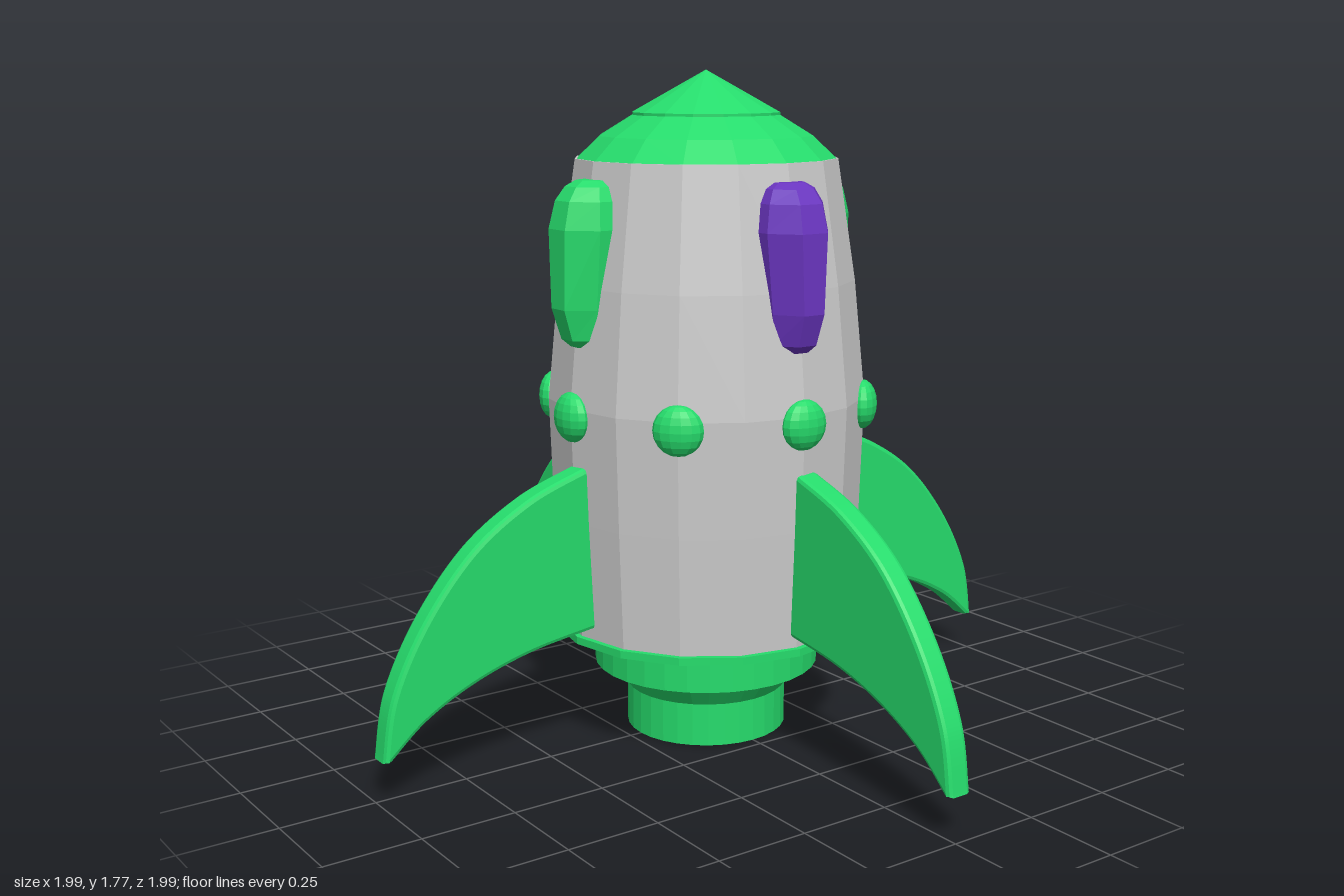
import * as THREE from 'three';

const material = (color) => new THREE.MeshStandardMaterial({ color, flatShading: true });

// Surface of revolution; profile is [radius, y] from bottom to top
function lathe(name, profile, sides, mat) {
  const pts = profile.map(([r, y]) => new THREE.Vector2(r, y));
  const mesh = new THREE.Mesh(new THREE.LatheGeometry(pts, sides), mat);
  mesh.name = name;
  return mesh;
}

// Long rounded pod facing +z, lofted from rings of [y, half width, reach from axis]
function podGeometry() {
  const rings = [
    [1.08, 0.045, 0.41], [1.1, 0.065, 0.432], [1.18, 0.076, 0.457],
    [1.38, 0.095, 0.457], [1.45, 0.083, 0.44], [1.485, 0.065, 0.415], [1.5, 0.04, 0.39],
  ];
  const n = 8, base = 0.34, pos = [], idx = [];
  for (const [y, w, reach] of rings) {
    for (let i = 0; i < n; i++) {
      const a = ((i + 0.5) / n) * Math.PI * 2;
      const k = Math.cos(Math.PI / n);
      pos.push((w * Math.sin(a)) / k, y, base + ((reach - base) * Math.cos(a)) / k);
    }
  }
  for (let j = 0; j < rings.length - 1; j++) {
    for (let i = 0; i < n; i++) {
      const a = j * n + i, b = j * n + ((i + 1) % n);
      idx.push(a, b, b + n, a, b + n, a + n);
    }
  }
  const top = (rings.length - 1) * n;
  for (let i = 1; i < n - 1; i++) idx.push(0, i + 1, i, top, top + i, top + i + 1);
  const geo = new THREE.BufferGeometry();
  geo.setAttribute('position', new THREE.Float32BufferAttribute(pos, 3));
  geo.setIndex(idx);
  geo.computeVertexNormals();
  return geo;
}

// Swept-back fin pointing to +x, with softened edges
function finGeometry() {
  const v = (list) => list.map(([x, y]) => new THREE.Vector2(x, y));
  const shape = new THREE.Shape();
  shape.moveTo(0.34, 0.345);
  shape.lineTo(0.4, 0.34);
  shape.splineThru(v([[0.58, 0.313], [0.74, 0.265], [0.875, 0.197], [0.975, 0.113]]));
  shape.lineTo(0.995, 0.113);
  shape.splineThru(v([[0.965, 0.275], [0.875, 0.448], [0.74, 0.607], [0.58, 0.712], [0.42, 0.77]]));
  shape.lineTo(0.34, 0.785);
  shape.closePath();
  const bevel = 0.012;
  const geo = new THREE.ExtrudeGeometry(shape, {
    depth: 0.068 - 2 * bevel, curveSegments: 16,
    bevelThickness: bevel, bevelSize: bevel, bevelOffset: -bevel, bevelSegments: 2,
  });
  geo.translate(0, 0, -0.05 + bevel);
  return geo;
}

export function createModel() {
  const model = new THREE.Group();
  model.name = 'rocket';
  const grey = material(0xcccccc);
  const green = material(0x26dc6c);
  const purple = material(0x6a35c0);

  // Hull
  model.add(lathe('hull', [
    [0, 0.31], [0.4, 0.31], [0.415, 0.62], [0.425, 0.92], [0.395, 1.23], [0.347, 1.545], [0, 1.545],
  ], 16, grey));

  // Nose: shallow dome with a separate pointed cap
  model.add(lathe('noseDome', [[0, 1.54], [0.347, 1.54], [0.282, 1.602], [0.19, 1.658], [0, 1.658]], 16, green));
  model.add(lathe('noseCap', [[0, 1.654], [0.195, 1.654], [0.195, 1.662], [0, 1.77]], 16, green));

  // Thin skirt under the hull with a shallow recess
  model.add(lathe('skirt', [
    [0, 0.305], [0.375, 0.305], [0.385, 0.292], [0.415, 0.292], [0.415, 0.312], [0, 0.312],
  ], 16, green));

  // Engine: wide collar, flared neck and nozzle with a centre hole
  model.add(lathe('engineCollar', [[0, 0.18], [0.305, 0.18], [0.305, 0.306], [0, 0.306]], 32, green));
  model.add(lathe('nozzle', [
    [0, 0.08], [0.045, 0.08], [0.045, 0], [0.217, 0], [0.217, 0.115], [0.262, 0.175], [0.262, 0.185], [0, 0.185],
  ], 32, green));

  // Four fins and four pods, one of each per side
  const fin = finGeometry(), pod = podGeometry();
  ['left', 'front', 'right', 'back'].forEach((side, i) => {
    const finMesh = new THREE.Mesh(fin, green);
    finMesh.name = side + 'Fin';
    finMesh.rotation.y = -i * Math.PI / 2;
    const podMesh = new THREE.Mesh(pod, side === 'left' ? purple : green);
    podMesh.name = side + 'Pod';
    podMesh.rotation.y = Math.PI / 2 - i * Math.PI / 2;
    model.add(finMesh, podMesh);
  });

  // Ring of flattened studs around the hull
  const stud = new THREE.SphereGeometry(0.065, 14, 10);
  stud.scale(1, 1, 0.6);
  for (let i = 0; i < 8; i++) {
    const a = (i * Math.PI) / 4;
    const mesh = new THREE.Mesh(stud, green);
    mesh.name = 'stud' + (i + 1);
    mesh.position.set(0.42 * Math.sin(a), 0.9, 0.42 * Math.cos(a));
    mesh.rotation.y = a;
    model.add(mesh);
  }

  return model;
}
